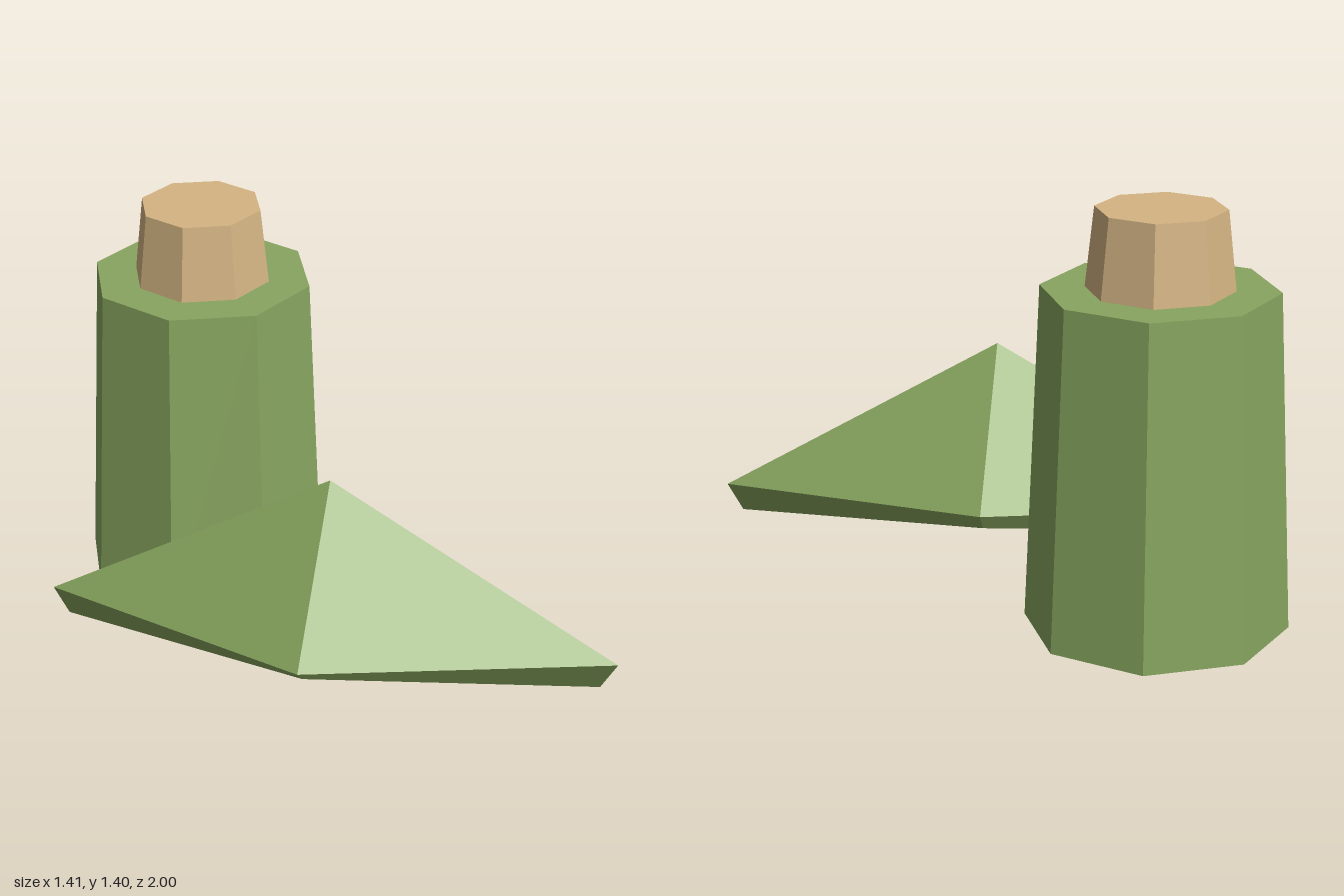
import * as THREE from 'three';

export function createModel() {
  const model = new THREE.Group();
  const green = new THREE.MeshStandardMaterial({ color: 0x87a55f });
  green.name = 'green';
  const cork = new THREE.MeshStandardMaterial({ color: 0xd4b483 });
  cork.name = 'cork';

  const add = (name, geometry, material) => {
    const mesh = new THREE.Mesh(geometry, material);
    mesh.name = name;
    model.add(mesh);
    return mesh;
  };

  // Octagonal tapered body and its stopper, with flat sides
  const column = (name, rTop, rBottom, y0, y1, material) => {
    const geometry = new THREE.CylinderGeometry(rTop, rBottom, y1 - y0, 8).toNonIndexed();
    geometry.computeVertexNormals();
    add(name, geometry, material).position.set(0, (y0 + y1) / 2, -0.5625);
  };
  column('body', 0.386, 0.4375, 0, 1.139, green);
  column('stopper', 0.212, 0.241, 1.139, 1.402, cork);

  // Folded leaf: a hollow four-sided peak, an even shell with an outer and an inner skin
  const cz = 0.3125;
  const ring = (tipX, tipY, tipZ, sideX, sideY, sideZ) => [
    [-tipX, tipY, cz - tipZ], [-sideX, sideY, cz + sideZ],
    [tipX, tipY, cz + tipZ], [sideX, sideY, cz - sideZ],
  ];
  const outer = ring(0.706, 0.177, 0.6875, 0.306, 0.263, 0.3125);
  const inner = ring(0.667, 0.082, 0.65, 0.25, 0.19, 0.25);
  const outerPeak = [0, 0.744, cz];
  const innerPeak = [0, 0.634, cz];

  // Each face is fanned into triangles that share one normal
  const positions = [], normals = [];
  const face = (...points) => {
    const v = points.map((p) => new THREE.Vector3(...p));
    const last = v[v.length - 1];
    const n = v[2].clone().sub(v[0]).cross(last.clone().sub(v[1])).normalize();
    for (let k = 1; k < points.length - 1; k++) {
      for (const p of [points[0], points[k], points[k + 1]]) {
        positions.push(...p);
        normals.push(n.x, n.y, n.z);
      }
    }
  };
  for (let i = 0; i < 4; i++) {
    const j = (i + 1) % 4;
    face(outer[i], outer[j], outerPeak);            // outer slope
    face(inner[j], inner[i], innerPeak);            // inner slope
    face(inner[i], inner[j], outer[j], outer[i]);   // rim
  }
  const leaf = new THREE.BufferGeometry();
  leaf.setAttribute('position', new THREE.Float32BufferAttribute(positions, 3));
  leaf.setAttribute('normal', new THREE.Float32BufferAttribute(normals, 3));
  add('leaf', leaf, green);

  return model;
}
